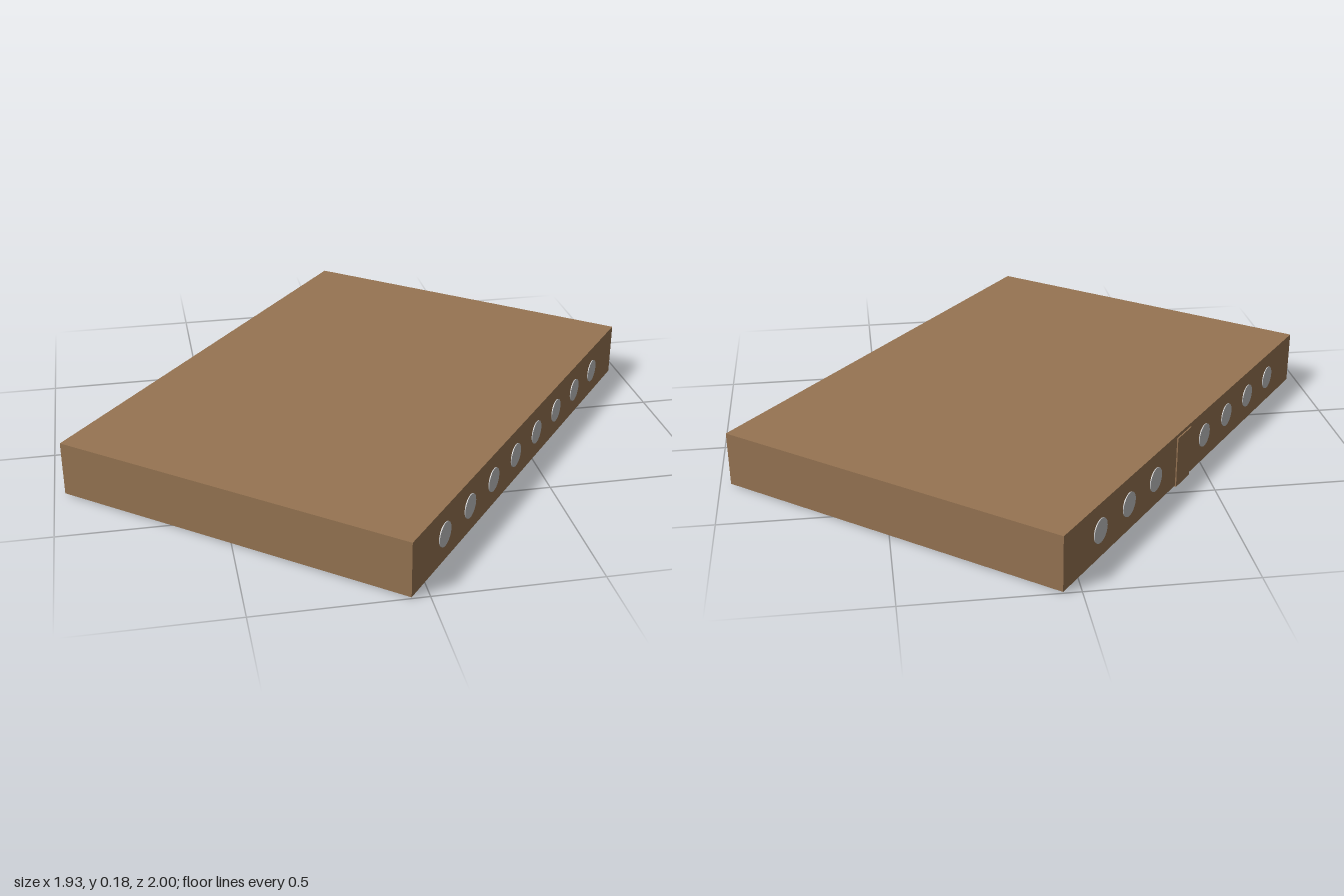
import * as THREE from 'three';

export function createModel() {
  const brown = new THREE.MeshStandardMaterial({ color: 0x967452 });
  brown.name = 'brown';
  const grey = new THREE.MeshStandardMaterial({ color: 0xc2c2c2 });
  grey.name = 'light grey';

  const model = new THREE.Group();
  model.name = 'slab';
  const length = 1.62, width = 1.177, bottom = 0.004, top = 0.177;
  const middle = (bottom + top) / 2;

  function add(name, geometry, material, x, y, z) {
    const mesh = new THREE.Mesh(geometry, material);
    mesh.name = name;
    mesh.position.set(x, y, z);
    model.add(mesh);
    return mesh;
  }

  // Main block
  add('block', new THREE.BoxGeometry(length, top - bottom, width), brown, 0, middle, 0);

  // Row of round discs along both long sides; one at the back is covered
  const discGeometry = new THREE.CylinderGeometry(0.038, 0.038, 0.006, 32).rotateX(Math.PI / 2);
  for (const side of [1, -1]) {
    for (let i = 0; i < 8; i++) {
      if (side === -1 && i === 4) continue;
      add(side === 1 ? 'frontDisc' : 'backDisc', discGeometry, grey,
        (i - 3.5) * 0.1725, middle, side * width / 2);
    }
  }

  // Thin cover plate in place of the missing disc
  add('coverPlate', new THREE.BoxGeometry(0.095, 0.166, 0.008), brown, 0.07, 0.083, -width / 2);

  // The slab stands at an angle to the axes
  model.rotation.y = 0.89;
  const root = new THREE.Group();
  root.name = 'model';
  root.add(model);
  return root;
}
